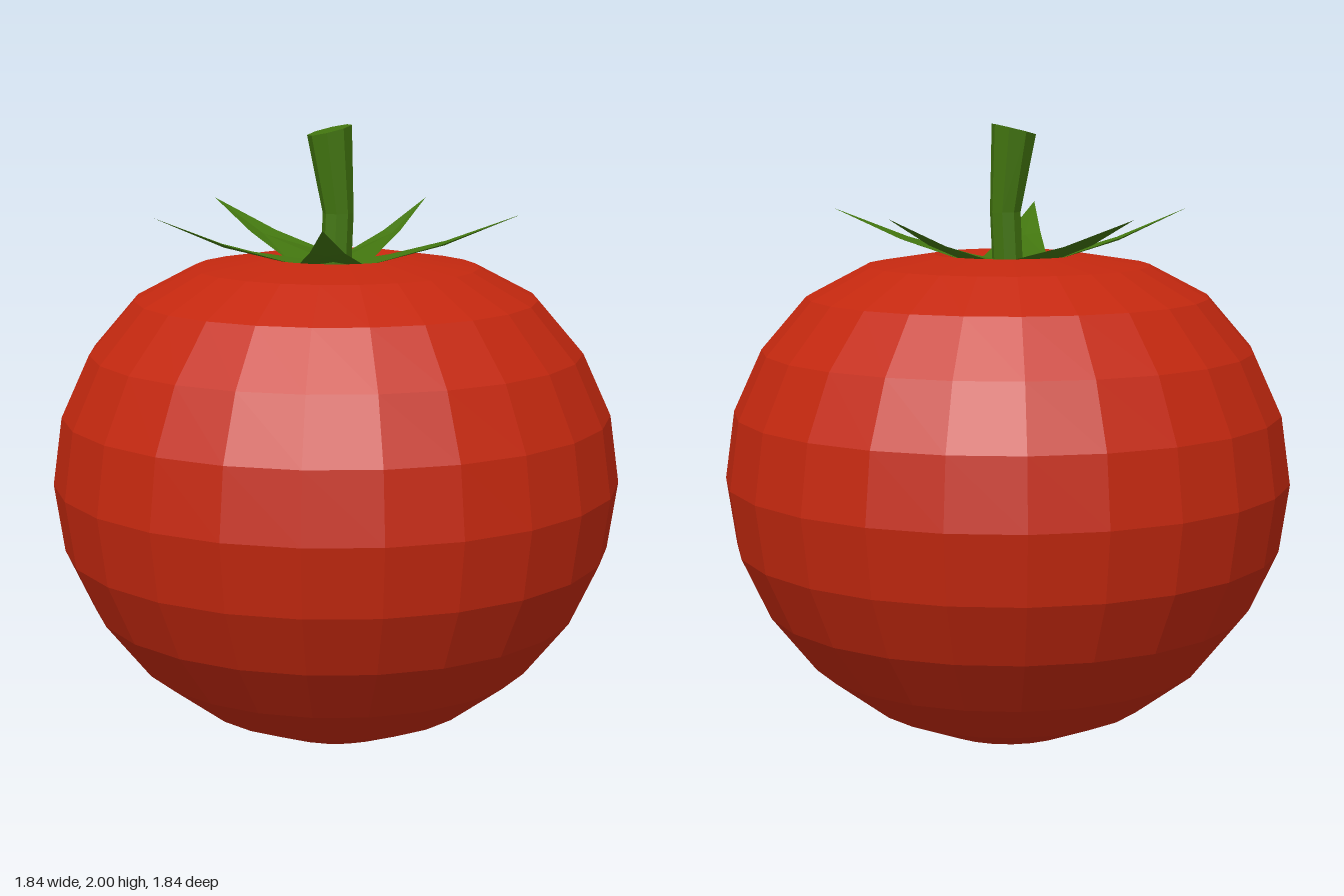
import * as THREE from 'three';

const red = new THREE.MeshStandardMaterial({ color: 0xc4280f });
red.name = 'tomatoRed';
const green = new THREE.MeshStandardMaterial({ color: 0x42750f, side: THREE.DoubleSide });
green.name = 'leafGreen';

// Splits shared corners so every facet gets its own flat normal
function faceted(geometry) {
  const flat = geometry.index ? geometry.toNonIndexed() : geometry;
  flat.computeVertexNormals();
  return flat;
}

function part(name, geometry, material) {
  const mesh = new THREE.Mesh(faceted(geometry), material);
  mesh.name = name;
  return mesh;
}

// Squashed fruit with a flattened top and a dimple under the calyx
function fruitGeometry() {
  const heights = [0.015, 0.11, 0.255, 0.44, 0.64, 0.86, 1.08, 1.28, 1.45, 1.55, 1.585];
  const profile = heights.map((y, i) =>
    new THREE.Vector2(0.92 * Math.cos((i - 5) * Math.PI / 12), y));
  profile.unshift(new THREE.Vector2(0, 0));
  profile.push(new THREE.Vector2(0, 1.5));
  return new THREE.LatheGeometry(profile, 24);
}

// Five-pointed star of thin leaves, each folded along its rib and curling up
function calyxGeometry() {
  const tips = [[-0.67, 0], [-0.21, 0.565], [0.435, 0.4], [0.435, -0.4], [-0.215, -0.57]];
  const notches = [[-0.11, 0.105], [0, 0.155], [0.15, 0], [0, -0.155], [-0.11, -0.105]];
  const at = ([x, z], y) => new THREE.Vector3(x, y, z);
  const centre = new THREE.Vector3(-0.01, 1.56, 0);
  const points = [];
  tips.forEach((tip, i) => {
    const t = at(tip, 1.725);
    const a = at(notches[(i + 4) % 5], 1.565);
    const b = at(notches[i], 1.565);
    const am = a.clone().lerp(t, 0.5).setY(1.632);
    const bm = b.clone().lerp(t, 0.5).setY(1.632);
    const rib = am.clone().lerp(bm, 0.5).setY(1.623);
    points.push(centre, a, rib, centre, rib, b, a, am, rib,
      am, t, rib, rib, t, bm, rib, bm, b);
  });
  return new THREE.BufferGeometry().setFromPoints(points);
}

// Eight-sided stem: straight foot, then a leaning, widening upper length
function stemGeometry() {
  const rings = [
    { x: -0.008, y: 1.53, z: -0.005, r: 0.05 },
    { x: -0.008, y: 1.72, z: -0.015, r: 0.05 },
    { x: -0.03, y: 1.983, z: 0.003, r: 0.072 },
  ];
  const geometry = new THREE.CylinderGeometry(1, 1, 2, 8, 2);
  const p = geometry.attributes.position;
  for (let i = 0; i < p.count; i++) {
    const level = Math.round(p.getY(i)) + 1;
    const c = rings[level];
    const dx = p.getX(i) * c.r, dz = p.getZ(i) * c.r;
    const tilt = level === 2 ? 0.1 * dx - 0.22 * dz : 0;
    p.setXYZ(i, c.x + dx, c.y + tilt, c.z + dz);
  }
  return geometry;
}

export function createModel() {
  const model = new THREE.Group();
  model.name = 'tomato';
  model.add(
    part('fruit', fruitGeometry(), red),
    part('calyx', calyxGeometry(), green),
    part('stem', stemGeometry(), green),
  );
  return model;
}
